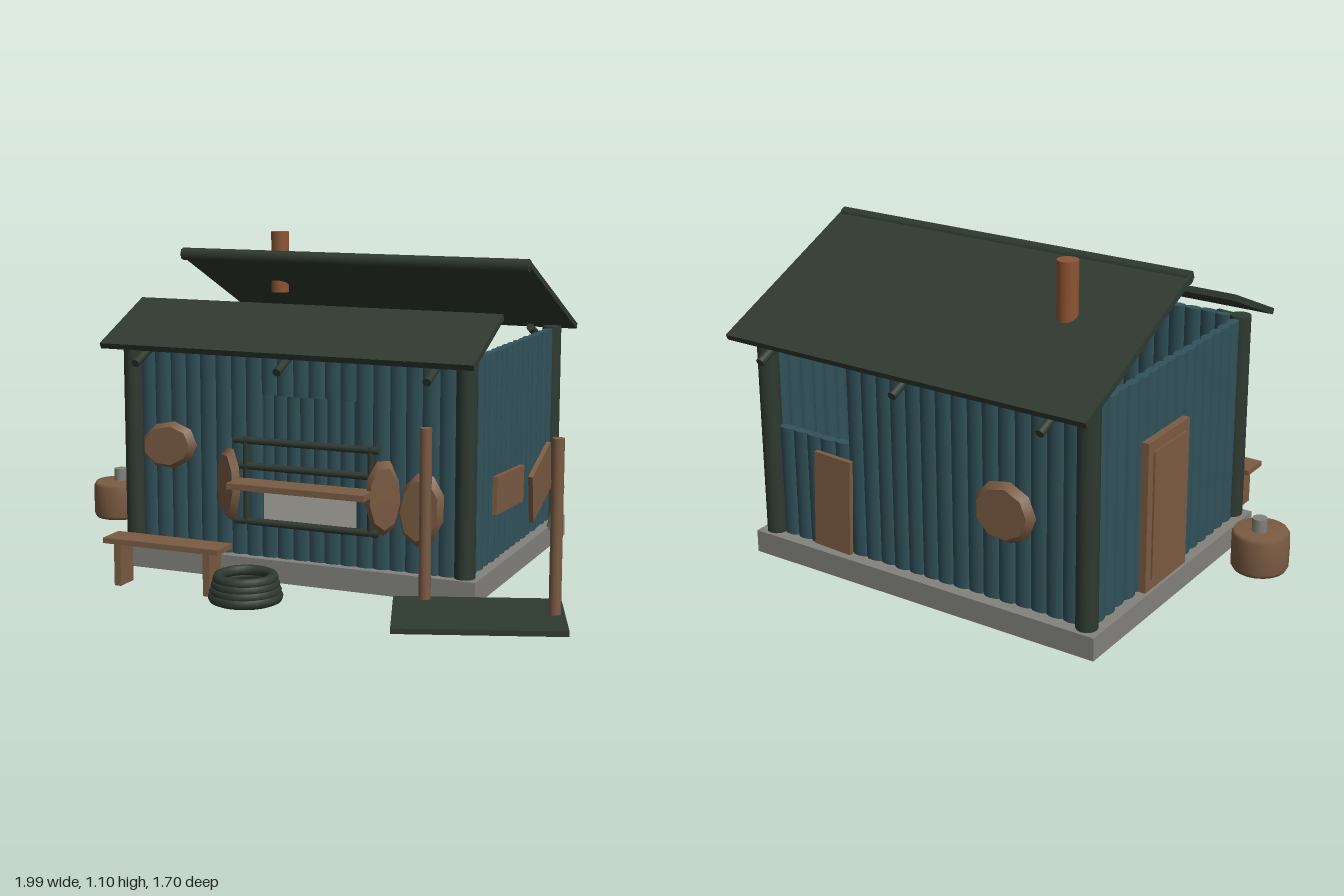
import * as THREE from 'three';

const mat = (name, color) => {
  const m = new THREE.MeshStandardMaterial({ color });
  m.name = name;
  return m;
};

export function createModel() {
  const root = new THREE.Group();
  root.name = 'shack';
  const green = mat('dark green', 0x2f3a30);
  const teal = mat('teal boards', 0x31525a);
  const wood = mat('brown wood', 0x7c5c43);
  const rust = mat('rusty pipe', 0x8c5433);
  const stone = mat('grey stone', 0x83827d);

  const add = (name, geo, m, x, y, z, parent = root) => {
    const mesh = new THREE.Mesh(geo, m);
    mesh.name = name;
    mesh.position.set(x, y, z);
    parent.add(mesh);
    return mesh;
  };
  const box = (name, m, w, h, d, x, y, z) => add(name, new THREE.BoxGeometry(w, h, d), m, x, y, z);
  // round pole between two points
  const pole = (name, m, a, b, r, sides = 10) => {
    const p = new THREE.Vector3(...a), q = new THREE.Vector3(...b);
    const dir = q.clone().sub(p);
    const mesh = add(name, new THREE.CylinderGeometry(r, r, dir.length(), sides), m, 0, 0, 0);
    mesh.position.copy(p).add(q).multiplyScalar(0.5);
    mesh.quaternion.setFromUnitVectors(new THREE.Vector3(0, 1, 0), dir.normalize());
    return mesh;
  };
  let seed = 7;
  const rnd = () => (seed = (seed * 16807) % 2147483647) / 2147483647;

  // Foundation slab and corner posts
  const L = -0.66, R = 0.52, F = 0.205, B = -0.715, Y0 = 0.08, Y1 = 0.77;
  box('foundation', stone, 1.28, 0.075, 1.01, -0.07, 0.0425, -0.255);
  for (const x of [L, R]) for (const z of [F, B]) pole('cornerPost', green, [x, 0.07, z], [x, Y1 + 0.005, z], 0.034, 12);

  // Walls of upright rounded boards; spans(t) lists the heights kept at position t
  const wall = (name, alongX, from, to, fixed, count, spans) => {
    const group = new THREE.Group();
    group.name = name;
    root.add(group);
    const w = (to - from) / count;
    for (let i = 0; i < count; i++) {
      const t = from + (i + 0.5) * w;
      for (const [lo, hi] of spans(t)) {
        const g = new THREE.CylinderGeometry(w * 0.54, w * 0.54, hi - lo, 10);
        g.scale(1, 1, 0.55);
        if (!alongX) g.rotateY(Math.PI / 2);
        const off = fixed + (rnd() - 0.5) * 0.006;
        add('board', g, teal, alongX ? t : off, (lo + hi) / 2, alongX ? off : t, group);
      }
    }
  };
  const full = () => [[Y0, Y1]];
  wall('frontWall', true, L + 0.03, R - 0.03, F, 20,
    (x) => (x > -0.19 && x < 0.17 ? [[Y0, 0.2], [0.62, Y1]] : [[Y0, Y1]]));
  wall('backWall', true, L + 0.03, R - 0.03, B + 0.01, 20,
    (x) => (x > 0.19 ? [[Y0, 0.45]] : [[Y0, Y1]]));
  wall('rightWall', false, B + 0.03, F - 0.03, L, 15, full);
  wall('leftWall', false, B + 0.03, F - 0.03, R, 15, full);

  // Roof panels, drawn as (z, y) edges
  const panel = (name, z1, y1, z2, y2) => {
    const m = box(name, green, 1.3, 0.02, Math.hypot(z2 - z1, y2 - y1), -0.07, (y1 + y2) / 2, (z1 + z2) / 2);
    m.rotation.x = Math.atan2(y1 - y2, z2 - z1);
  };
  panel('backRoof', -0.83, 0.765, -0.24, 1.035);
  panel('frontRoof', 0.035, 0.89, 0.32, 0.765);
  pole('ridgeBeam', green, [-0.715, 1.028, -0.25], [0.575, 1.028, -0.25], 0.022, 8);
  for (const x of [-0.58, -0.07, 0.435]) {
    pole('rafterEnd', green, [x, 0.765, 0.21], [x, 0.715, 0.335], 0.014);
    pole('rafterEnd', green, [x, 0.765, -0.73], [x, 0.715, -0.845], 0.014);
  }
  pole('chimney', rust, [-0.445, 0.88, -0.49], [-0.445, 1.1, -0.49], 0.033, 14);

  // Window frame rails and counter
  for (const y of [0.47, 0.385, 0.2]) pole('windowRail', green, [-0.27, y, 0.235], [0.24, y, 0.235], 0.012);
  for (const x of [-0.228, 0.212]) pole('windowUpright', green, [x, 0.19, 0.235], [x, 0.48, 0.235], 0.011);
  box('counter', wood, 0.48, 0.02, 0.1, -0.01, 0.335, 0.29);

  // Rough oval patches with a slight bulge
  const patch = (name, rx, ry, x, y, z, turn = 0, roll = 0) => {
    const g = new THREE.CylinderGeometry(0.82, 1, 0.024, 9).rotateX(Math.PI / 2);
    g.scale(rx, ry, 1);
    const m = add(name, g, wood, x, y, z);
    m.rotation.set(0, turn, roll);
  };
  patch('frontPatch', 0.105, 0.08, -0.52, 0.43, F + 0.03, 0, 0.2);
  patch('frontPatch', 0.078, 0.122, 0.38, 0.29, F + 0.03, 0, -0.12);
  patch('shutter', 0.06, 0.125, -0.295, 0.32, F + 0.035, -0.55);
  patch('shutter', 0.06, 0.125, 0.26, 0.32, F + 0.035, 0.55);
  patch('backPatch', 0.11, 0.1, -0.38, 0.38, B - 0.02, Math.PI, 0.2);

  // Boards on the side and back walls
  const sideBoardA = box('sideBoard', wood, 0.016, 0.125, 0.29, 0.548, 0.297, -0.145);
  sideBoardA.rotation.x = -0.05;
  const sideBoardB = box('sideBoard', wood, 0.016, 0.19, 0.23, 0.555, 0.255, -0.485);
  sideBoardB.rotation.set(0.38, 0, -0.08);
  pole('leaningStick', stone, [0.57, 0.07, -0.565], [0.62, 0.24, -0.525], 0.013, 8);
  box('door', wood, 0.024, 0.49, 0.25, -0.688, 0.325, -0.32);
  box('doorPanel', wood, 0.012, 0.42, 0.19, -0.7, 0.325, -0.32);
  const backBoard = box('backBoard', wood, 0.14, 0.32, 0.016, 0.258, 0.25, -0.738);
  backBoard.rotation.z = 0.04;

  // Bench
  box('benchSeat', wood, 0.42, 0.018, 0.1, -0.42, 0.15, 0.43);
  for (const x of [-0.58, -0.255]) box('benchLeg', wood, 0.024, 0.14, 0.08, x, 0.072, 0.435);

  // Stack of rings
  for (let i = 0; i < 4; i++) {
    const g = new THREE.TorusGeometry(0.102 - i * 0.005, 0.018, 8, 24).rotateX(Math.PI / 2);
    add('ring', g, green, -0.12, 0.018 + i * 0.02, 0.465);
  }

  // Barrel with a spout
  const profile = [[0, 0.083], [0.083, 0.083], [0.09, 0.095], [0.091, 0.15], [0.09, 0.2], [0.083, 0.212], [0, 0.212]];
  const barrel = new THREE.LatheGeometry(profile.map(([r, y]) => new THREE.Vector2(r, y)), 20);
  add('barrel', barrel, wood, -0.91, 0, -0.1);
  pole('barrelSpout', stone, [-0.91, 0.205, -0.112], [-0.91, 0.255, -0.112], 0.024, 10);

  // Fallen board with two poles
  const fallen = box('fallenBoard', green, 0.5, 0.016, 0.33, 0.7, 0.088, 0.605);
  fallen.rotation.y = 0.35;
  for (const x of [0.505, 0.905]) pole('standingPole', wood, [x, 0.08, 0.525], [x, 0.612, 0.525], 0.018, 10);

  return root;
}
